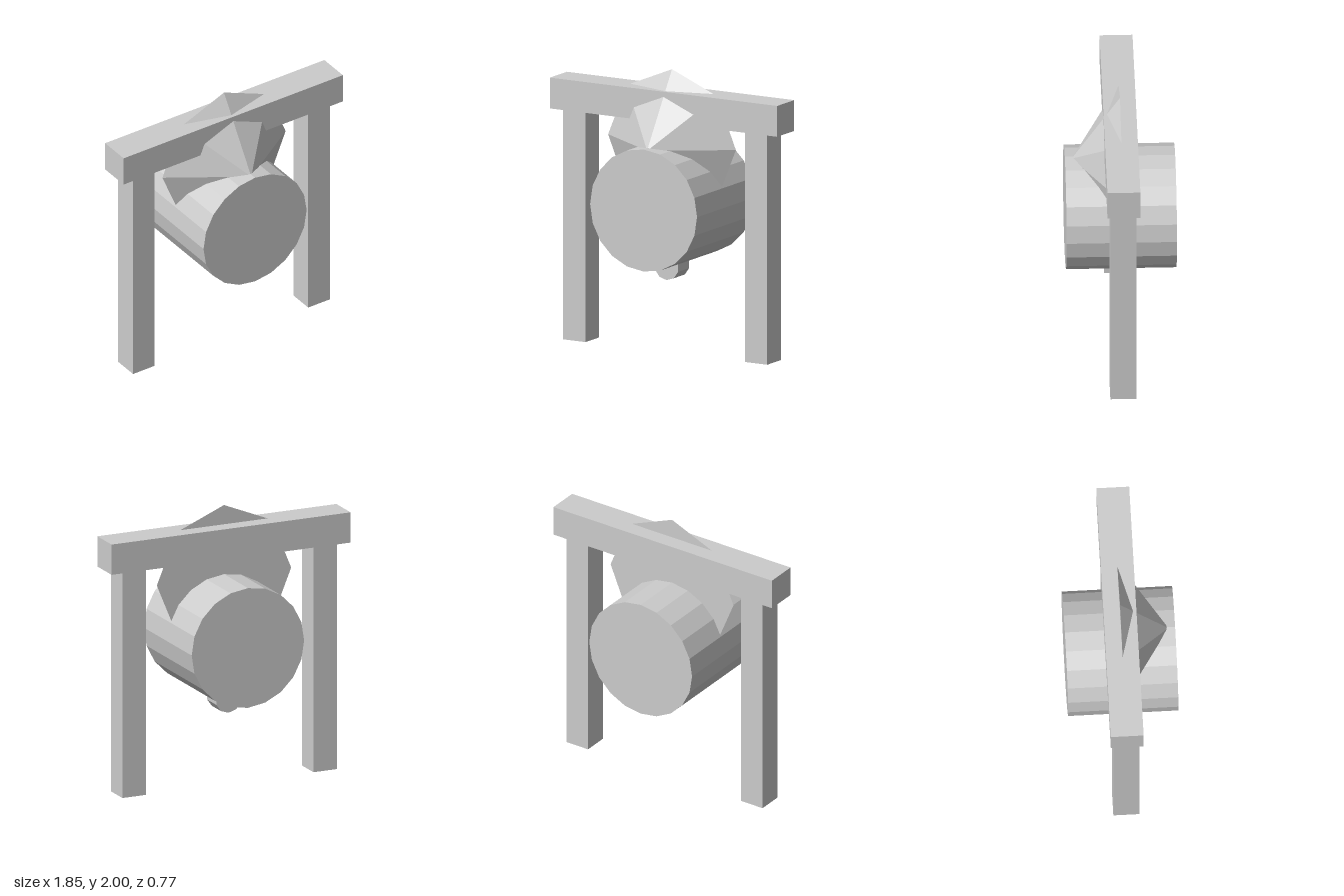
import * as THREE from 'three';

export function createModel() {
  const group = new THREE.Group();
  const grey = new THREE.MeshStandardMaterial({ color: 0xcccccc, flatShading: true });
  grey.name = 'light grey';

  const add = (name, geometry, x, y, z) => {
    const mesh = new THREE.Mesh(geometry, grey);
    mesh.name = name;
    mesh.position.set(x, y, z);
    group.add(mesh);
  };

  // Wooden frame: two posts and a crossbeam
  for (const [name, side] of [['leftPost', 1], ['rightPost', -1]]) {
    add(name, new THREE.BoxGeometry(0.182, 1.64, 0.184), side * 0.739, 0.82, 0);
  }
  add('crossbeam', new THREE.BoxGeometry(1.85, 0.22, 0.23), 0, 1.75, 0);

  // Hanging drum, axis along z
  add('drum', new THREE.CylinderGeometry(0.435, 0.435, 0.77, 20).rotateX(Math.PI / 2), 0, 1.0625, 0);

  // Eight-sided cone behind the beam, pointing forward
  add('cone', new THREE.ConeGeometry(0.52, 0.338, 8).rotateX(Math.PI / 2), 0, 1.48, 0.169);

  // Small round knob under the drum
  add('knob', new THREE.CylinderGeometry(0.1, 0.1, 0.15, 10).rotateX(Math.PI / 2), 0, 0.61, 0);

  return group;
}
